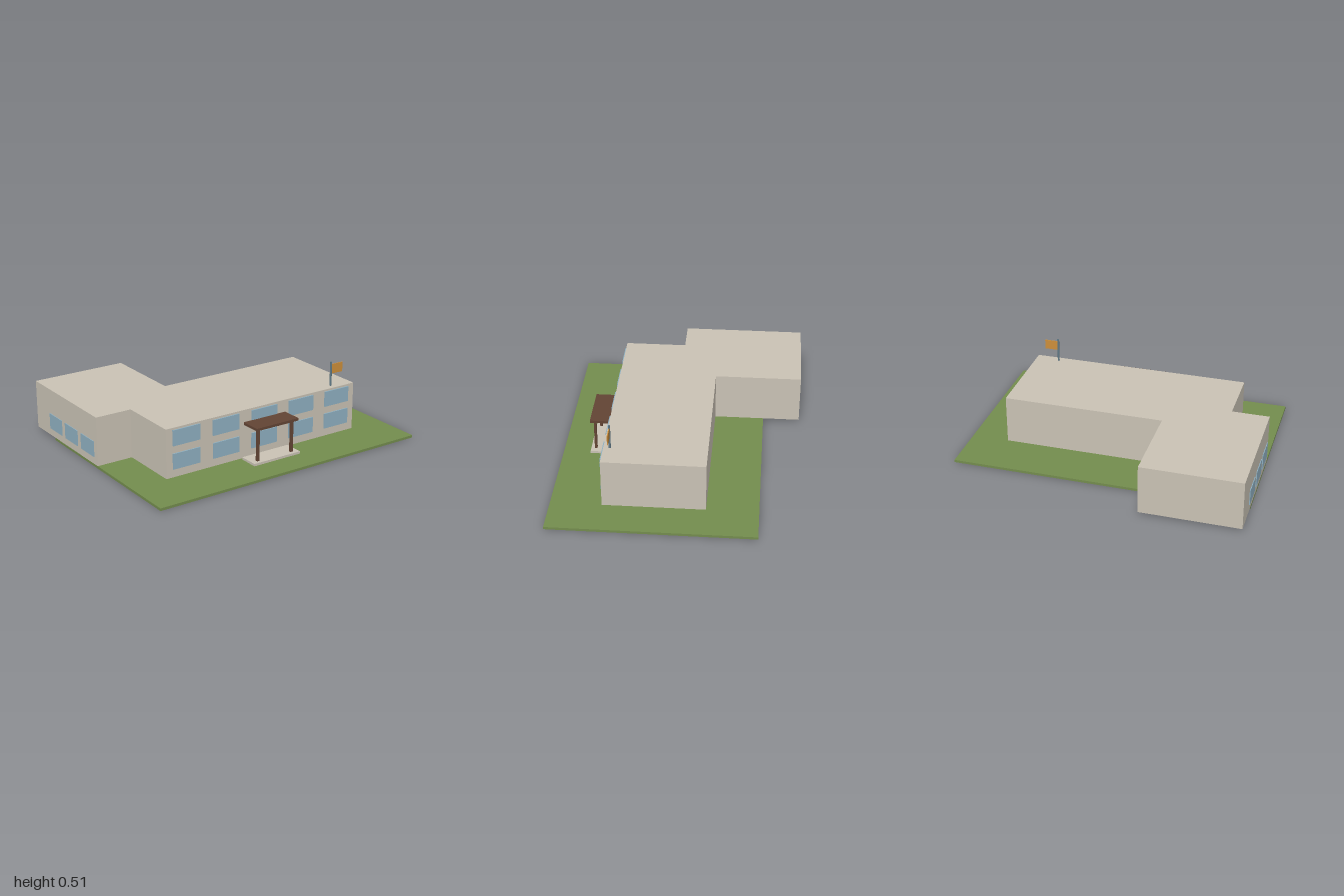
import * as THREE from 'three';

const mat = (name, color) => {
  const m = new THREE.MeshStandardMaterial({ color });
  m.name = name;
  return m;
};

export function createModel() {
  const model = new THREE.Group();
  model.name = 'building';
  const wall = mat('wall beige', 0xc9c2b4);
  const grass = mat('grass green', 0x738c4d);
  const glass = mat('window blue', 0x8eafc0);
  const wood = mat('porch brown', 0x624434);
  const metal = mat('pole grey', 0x5f7885);
  const cloth = mat('flag orange', 0xcc8e3a);

  const add = (name, geometry, material) => {
    const mesh = new THREE.Mesh(geometry, material);
    mesh.name = name;
    model.add(mesh);
    return mesh;
  };
  // Box given by its extents along each axis
  const box = (name, material, [x0, x1], [y0, y1], [z0, z1]) =>
    add(name, new THREE.BoxGeometry(x1 - x0, y1 - y0, z1 - z0), material)
      .position.set((x0 + x1) / 2, (y0 + y1) / 2, (z0 + z1) / 2);

  const base = 0.017, roof = 0.347;
  box('lawn', grass, [-0.995, 1], [0, base], [-0.541, 0.79]);

  // Main block and rear wing as one footprint, listed as x, z
  const plan = [
    [-0.744, 0.458], [0.748, 0.458], [0.748, -0.205], [-0.332, -0.205],
    [-0.332, -0.79], [-0.995, -0.79], [-0.995, 0.04], [-0.744, 0.04],
  ];
  const footprint = new THREE.Shape(plan.map(([x, z]) => new THREE.Vector2(x, -z)));
  const walls = new THREE.ExtrudeGeometry(footprint, { depth: roof - base, bevelEnabled: false });
  walls.rotateX(-Math.PI / 2).translate(0, base, 0);
  add('walls', walls, wall);

  // Two rows of front windows
  for (const y of [0.072, 0.228]) {
    for (let i = -2; i <= 2; i++) {
      const x = i * 0.299 + 0.001;
      box('frontWindow', glass, [x - 0.1, x + 0.1], [y, y + 0.105], [0.458, 0.467]);
    }
  }
  // Ground floor windows on the wing
  for (const z of [-0.513, -0.298, -0.083]) {
    box('wingWindow', glass, [-1, -0.995], [0.068, 0.175], [z - 0.084, z + 0.084]);
  }

  // Entrance porch
  box('entranceStep', wall, [-0.181, 0.183], [base, 0.033], [0.475, 0.608]);
  box('canopy', wood, [-0.164, 0.167], [0.25, 0.267], [0.465, 0.606]);
  for (const x of [-0.133, 0.135]) {
    box('canopyPost', wood, [x - 0.009, x + 0.009], [0.033, 0.25], [0.567, 0.584]);
  }

  // Flagpole on the roof
  const pole = new THREE.CylinderGeometry(0.007, 0.007, 0.167, 12);
  add('flagpole', pole, metal).position.set(0.584, roof + 0.0835, 0.416);
  box('flag', cloth, [0.588, 0.68], [0.431, 0.497], [0.413, 0.419]);

  return model;
}
